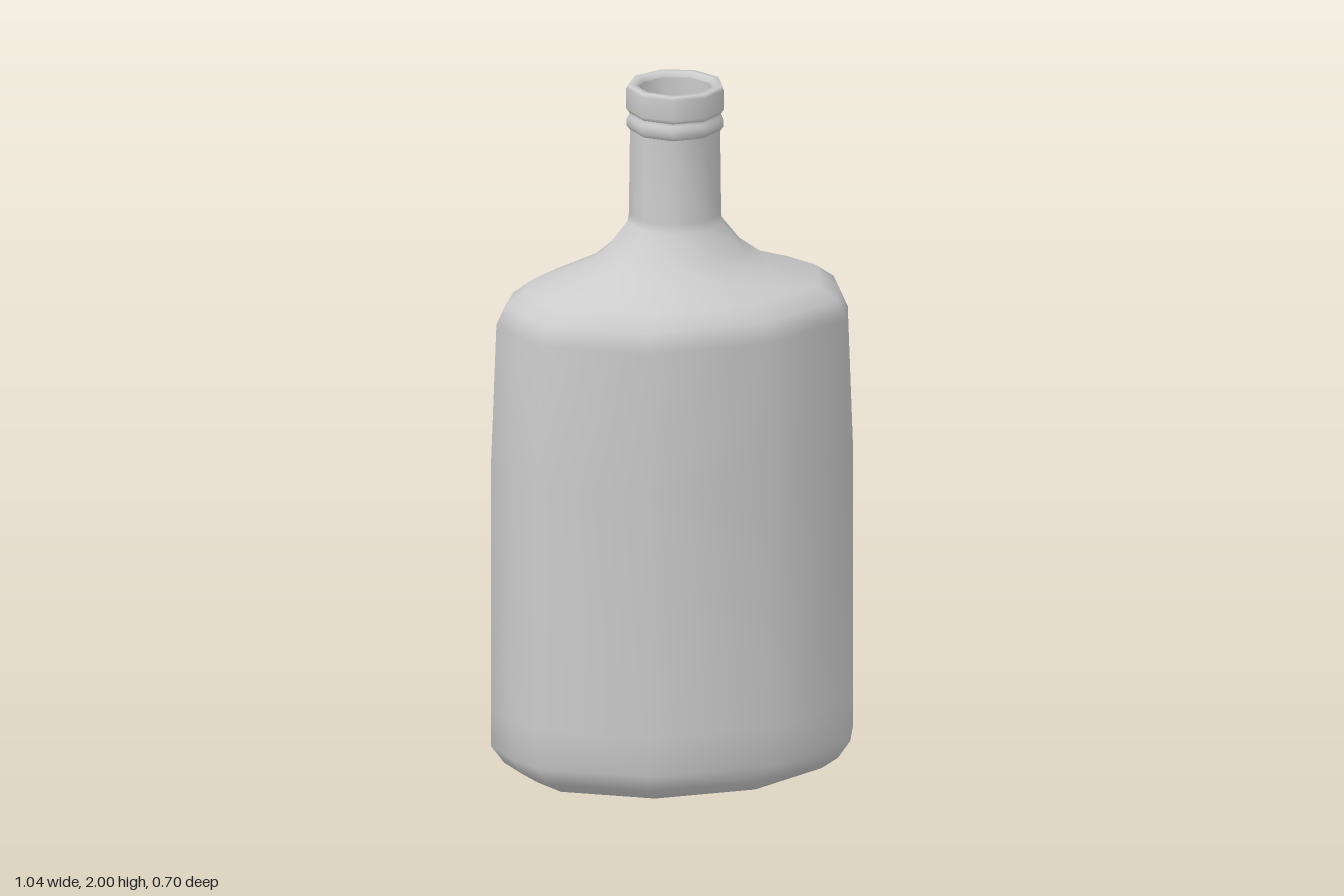
import * as THREE from 'three';

const CENTRE_Z = 0.011;

// Nine-sided ring of directions, with an extra bulged column in each side panel
function ringColumns() {
  const at = (deg) => {
    const a = THREE.MathUtils.degToRad(deg);
    return [Math.sin(a), -Math.cos(a)];
  };
  const mid = (a, b, bulge) => {
    const p = at(a), q = at(b);
    return [(p[0] + q[0]) / 2, (p[1] + q[1]) / 2, bulge];
  };
  const half = [at(40), mid(40, 80, 0.065), at(80), mid(80, 120, 0.025), at(120), at(160)];
  const mirrored = half.map(([x, z, b]) => [-x, z, b]).reverse();
  return [at(0), ...half, ...mirrored];
}

// Skin through rows of [y, x radius, z radius]; a zero radius closes the end
function loft(rows) {
  const columns = ringColumns();
  const n = columns.length;
  const positions = [], index = [];
  for (const [y, rx, rz] of rows) {
    const fullness = THREE.MathUtils.clamp((rx - 0.14) / 0.3, 0, 1);
    for (const [x, z, bulge = 0] of columns) {
      const s = 1 + bulge * fullness;
      positions.push(x * rx * s, y, z * rz * s + CENTRE_Z);
    }
  }
  for (let r = 0; r < rows.length - 1; r++) {
    for (let c = 0; c < n; c++) {
      const a = r * n + c, b = r * n + (c + 1) % n;
      if (rows[r + 1][1] > 0) index.push(a, a + n, b + n);
      if (rows[r][1] > 0) index.push(a, b + n, b);
    }
  }
  const g = new THREE.BufferGeometry();
  g.setAttribute('position', new THREE.Float32BufferAttribute(positions, 3));
  g.setIndex(index);
  g.computeVertexNormals();
  return g;
}

export function createModel() {
  const group = new THREE.Group();
  const material = new THREE.MeshStandardMaterial({ color: 0xcccccc, side: THREE.DoubleSide });
  const add = (name, rows) => {
    const mesh = new THREE.Mesh(loft(rows), material);
    mesh.name = name;
    group.add(mesh);
  };

  // Base, flat body, sloping shoulders and neck
  add('bottleBody', [
    [0, 0, 0],
    [0, 0.42, 0.295],
    [0.004, 0.44, 0.305],
    [0.035, 0.49, 0.335],
    [0.085, 0.527, 0.36],
    [0.2, 0.528, 0.361],
    [0.9, 0.528, 0.361],
    [1.32, 0.512, 0.352],
    [1.375, 0.487, 0.335],
    [1.415, 0.43, 0.295],
    [1.465, 0.275, 0.232],
    [1.52, 0.2, 0.18],
    [1.6, 0.135, 0.138],
    [1.625, 0.131, 0.131],
    [1.87, 0.128, 0.128],
  ]);

  // Bead, groove and lip around the mouth
  add('neckBead', [
    [1.87, 0.128, 0.128],
    [1.882, 0.138, 0.138],
    [1.902, 0.138, 0.138],
    [1.912, 0.13, 0.13],
    [1.92, 0.13, 0.13],
  ]);
  add('lip', [
    [1.92, 0.13, 0.13],
    [1.932, 0.139, 0.139],
    [1.99, 0.139, 0.139],
    [2, 0.134, 0.134],
    [2, 0.114, 0.114],
    [1.985, 0.108, 0.108],
  ]);

  // Hollow inside, from the mouth down to the inner floor
  add('innerWall', [
    [1.985, 0.108, 0.108],
    [1.62, 0.106, 0.106],
    [1.5, 0.17, 0.15],
    [1.44, 0.25, 0.2],
    [1.39, 0.4, 0.265],
    [1.31, 0.485, 0.325],
    [0.9, 0.5, 0.335],
    [0.1, 0.5, 0.335],
    [0.03, 0.42, 0.28],
    [0.03, 0, 0],
  ]);
  return group;
}
